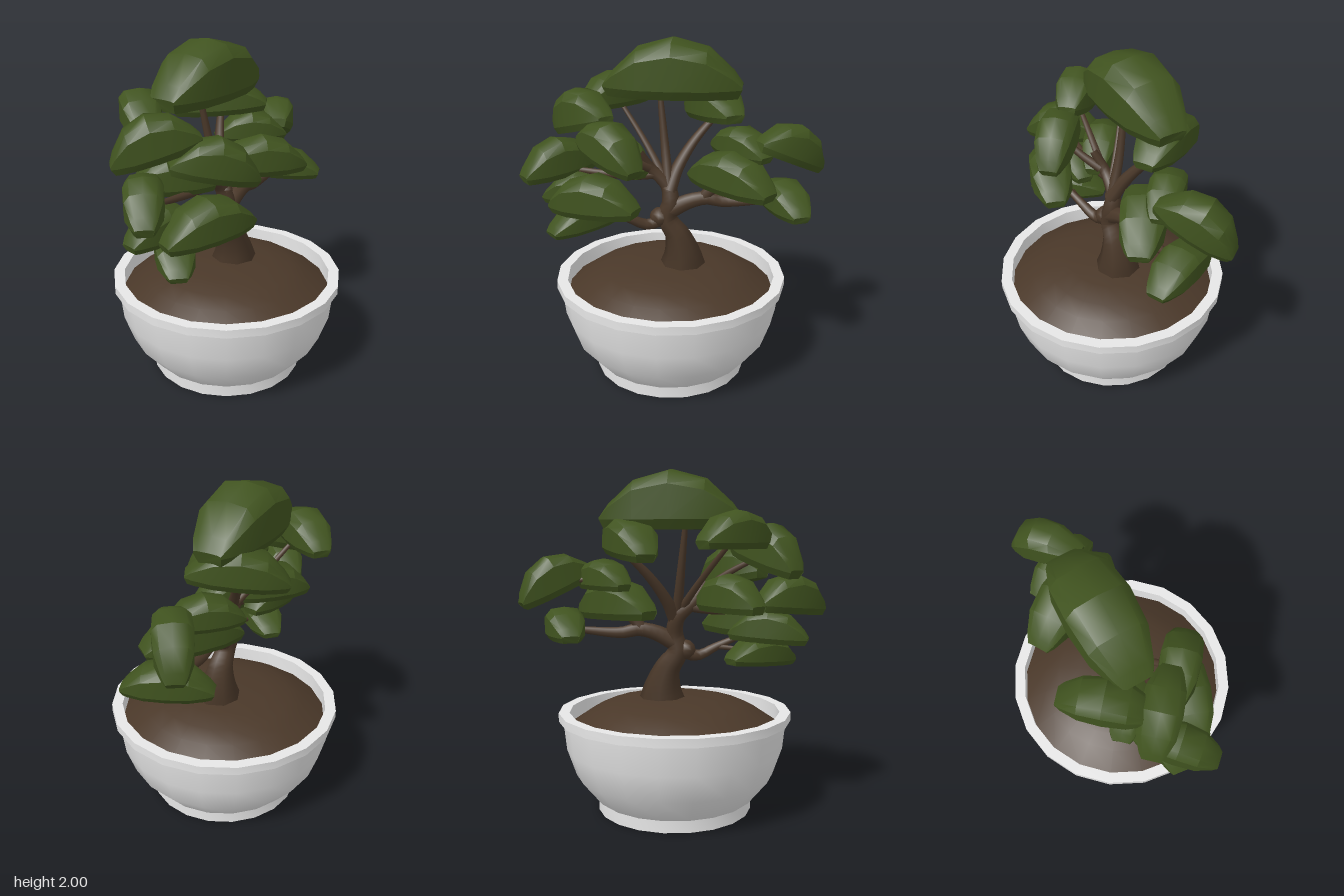
import * as THREE from 'three';
import { toCreasedNormals } from 'three/addons/utils/BufferGeometryUtils.js';

const makeMaterial = (name, color) => {
  const m = new THREE.MeshStandardMaterial({ color });
  m.name = name;
  return m;
};

// Lathe with 20 sides, smooth around and creased at the profile corners
function turned(profile) {
  const points = profile.map(([r, y]) => new THREE.Vector2(r, y));
  return toCreasedNormals(new THREE.LatheGeometry(points, 20), 0.6);
}

// Tube through points, tapering from one radius to another, with an optional flared foot
function limb(points, startRadius, endRadius, flare = 0) {
  const sides = 8;
  const curve = new THREE.CatmullRomCurve3(points.map(p => new THREE.Vector3(...p)));
  const segments = (points.length - 1) * 4;
  const geo = new THREE.TubeGeometry(curve, segments, 1, sides);
  const pos = geo.attributes.position;
  const v = new THREE.Vector3();
  for (let i = 0; i <= segments; i++) {
    const u = i / segments;
    const centre = curve.getPointAt(u);
    const radius = THREE.MathUtils.lerp(startRadius, endRadius, u) + flare * Math.max(0, 1 - u / 0.35) ** 1.5;
    for (let j = 0; j <= sides; j++) {
      const n = i * (sides + 1) + j;
      v.fromBufferAttribute(pos, n).sub(centre).multiplyScalar(radius).add(centre);
      pos.setXYZ(n, v.x, v.y, v.z);
    }
  }
  return geo;
}

// Unit leaf pad: a blocky dome along x, with a flat, slightly undercut base
function padGeometry() {
  const count = 7, n = 9, verts = [], index = [];
  for (let i = 0; i < count; i++) {
    // stations bunch toward both ends; height and width fall off as a dome
    const x = Math.sin((i / (count - 1) - 0.5) * Math.PI);
    const h = 0.22 + 0.78 * (1 - Math.abs(x) ** 2.3);
    const w = 0.45 + 0.55 * (1 - Math.abs(x) ** 2.8);
    const rise = h - 0.16;
    const half = [[0.82, 0], [1, 0.16], [0.99, 0.16 + rise * 0.68], [0.7, 0.16 + rise * 0.93]];
    const ring = [...half, [0, h], ...half.slice().reverse().map(([z, y]) => [-z, y])];
    for (const [z, y] of ring) verts.push(y === 0 ? x * 0.94 : x, y, z * w);
  }
  const last = (count - 1) * n;
  for (let i = 0; i < count - 1; i++) {
    for (let j = 0; j < n; j++) {
      const a = i * n + j, d = i * n + (j + 1) % n;
      index.push(a, a + n, d + n, a, d + n, d);
    }
  }
  for (let j = 1; j < n - 1; j++) index.push(0, j, j + 1, last, last + j + 1, last + j);
  const geo = new THREE.BufferGeometry();
  geo.setAttribute('position', new THREE.Float32BufferAttribute(verts, 3));
  geo.setIndex(index);
  return toCreasedNormals(geo, 0.55);
}

export function createModel() {
  const model = new THREE.Group();
  model.name = 'pottedTree';
  const stone = makeMaterial('pale grey pot', 0xe6e6e6);
  const brown = makeMaterial('earth brown', 0x4a3829);
  const green = makeMaterial('leaf green', 0x40531f);

  const addGroup = name => {
    const group = new THREE.Group();
    group.name = name;
    model.add(group);
    return group;
  };
  const add = (name, geometry, material, parent = model) => {
    const mesh = new THREE.Mesh(geometry, material);
    mesh.name = name;
    parent.add(mesh);
    return mesh;
  };

  // Pot with foot and rim, and the soil mound inside
  const pot = add('pot', turned([
    [0, 0], [0.46, 0], [0.46, 0.07], [0.475, 0.08], [0.59, 0.22], [0.645, 0.38],
    [0.663, 0.55], [0.69, 0.55], [0.69, 0.6], [0.626, 0.6], [0.622, 0.48],
  ]), stone);
  const soil = add('soil', turned([[0.624, 0.51], [0.49, 0.6], [0.4, 0.64], [0.27, 0.67], [0, 0.675]]), brown);
  pot.position.x = soil.position.x = -0.01;

  // Trunk with its knot
  const wood = addGroup('wood');
  add('trunk', limb([
    [0.065, 0.64, 0], [0.06, 0.74, 0], [0.03, 0.85, 0], [-0.03, 0.95, 0],
    [-0.01, 1.05, 0], [-0.03, 1.15, -0.02], [-0.13, 1.25, -0.02], [-0.19, 1.36, 0.02],
  ], 0.088, 0.022, 0.06), brown, wood);
  add('knot', new THREE.SphereGeometry(0.06, 8, 6), brown, wood).position.set(-0.075, 0.96, 0.01);

  const branch = (name, startRadius, endRadius, ...points) =>
    add(name, limb(points, startRadius, endRadius), brown, wood);
  // Upper branches
  branch('crownBranch', 0.034, 0.015, [-0.02, 1.12, 0], [-0.05, 1.35, -0.07], [-0.09, 1.7, -0.13]);
  branch('backRightBranch', 0.044, 0.018, [-0.02, 1.12, 0], [0.02, 1.24, -0.06], [0.11, 1.39, -0.14], [0.25, 1.55, -0.23]);
  branch('backLeftBranch', 0.024, 0.012, [-0.05, 1.2, -0.02], [-0.18, 1.38, -0.14], [-0.36, 1.6, -0.28]);
  // Branches on the +x side
  branch('lowBranch', 0.055, 0.016, [-0.02, 1, 0], [0.1, 1.06, -0.01], [0.2, 1.08, -0.02], [0.3, 1.06, -0.03], [0.62, 1.08, -0.04]);
  branch('outerBranch', 0.038, 0.012, [0.17, 1.07, -0.02], [0.24, 1.15, -0.02], [0.4, 1.36, -0.1], [0.62, 1.37, -0.1]);
  // Branches on the -x side
  branch('lowBranch', 0.04, 0.012, [-0.05, 0.95, 0.01], [-0.14, 0.92, 0.04], [-0.25, 0.97, 0.08], [-0.46, 1.06, 0.14]);
  branch('lowTwig', 0.016, 0.01, [-0.25, 0.97, 0.08], [-0.38, 0.96, 0.06], [-0.52, 0.92, 0.03]);
  branch('outerBranch', 0.03, 0.015, [-0.1, 1.22, -0.02], [-0.24, 1.2, -0.02], [-0.66, 1.23, -0.04]);
  branch('upperBranch', 0.025, 0.012, [-0.15, 1.28, -0.01], [-0.3, 1.4, -0.02], [-0.52, 1.52, -0.05]);
  branch('frontBranch', 0.028, 0.015, [-0.14, 1.26, 0], [-0.24, 1.33, 0.08], [-0.35, 1.42, 0.15]);

  // Leaf pads: base centre, half length, height, heading and tilt in degrees
  const foliage = addGroup('foliage');
  const leaf = padGeometry();
  const leafPad = (x, y, z, length, height, heading, tilt) => {
    const pad = add('leafPad', leaf, green, foliage);
    pad.position.set(x, y, z);
    pad.scale.set(length, height, length * 0.45);
    pad.rotation.set(0, -THREE.MathUtils.degToRad(heading), THREE.MathUtils.degToRad(tilt), 'YZX');
  };
  // Crown and back pads
  leafPad(-0.01, 1.665, -0.13, 0.4, 0.335, 0, 0);
  leafPad(0.22, 1.515, -0.21, 0.28, 0.22, 60, 6);
  leafPad(-0.385, 1.56, -0.31, 0.25, 0.21, -49, 0);
  // Pads on the -x side, from the top down
  leafPad(-0.53, 1.46, -0.06, 0.25, 0.25, 43, 16);
  leafPad(-0.35, 1.34, 0.16, 0.25, 0.235, 42, -12);
  leafPad(-0.68, 1.19, -0.04, 0.24, 0.23, -42, 5);
  leafPad(-0.34, 1.2, -0.13, 0.24, 0.22, 43, 0);
  leafPad(-0.43, 1.03, 0.19, 0.28, 0.24, 20, 4);
  leafPad(-0.56, 1.02, -0.03, 0.23, 0.2, 8, 3);
  leafPad(-0.52, 0.88, 0.02, 0.245, 0.17, -45, 4);
  // Pads on the +x side, from the top down
  leafPad(0.39, 1.32, -0.11, 0.22, 0.18, 45, 0);
  leafPad(0.66, 1.3, -0.09, 0.24, 0.23, -35, -24);
  leafPad(0.34, 1.14, 0, 0.29, 0.24, 37, -2);
  leafPad(0.65, 1.02, -0.04, 0.25, 0.19, 66, 0);
  return model;
}
